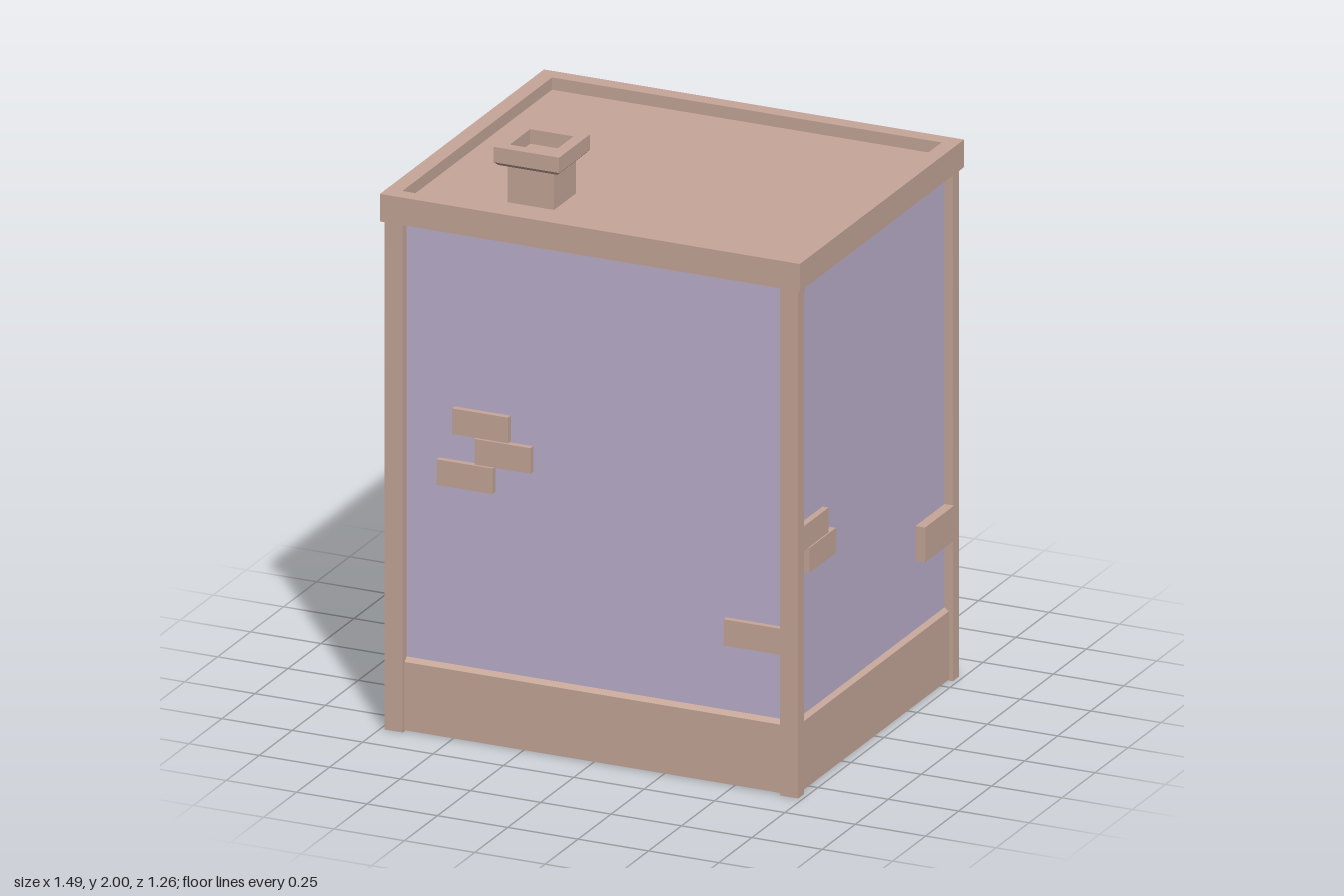
import * as THREE from 'three';

const mat = (name, color) => {
  const m = new THREE.MeshStandardMaterial({ color });
  m.name = name;
  return m;
};

export function createModel() {
  const stone = mat('stone', 0xc6a799);
  const plaster = mat('plaster', 0xbcb0cd);
  const doorPaint = mat('doorPaint', 0xac97c8);
  const glass = mat('glass', 0x9fb5c4);

  const house = new THREE.Group();
  house.name = 'house';

  const add = (parent, name, geometry, material) => {
    const mesh = new THREE.Mesh(geometry, material);
    mesh.name = name;
    parent.add(mesh);
    return mesh;
  };
  // Box given by its lower and upper limits on each axis
  const box = (parent, name, material, x0, x1, y0, y1, z0, z1) => {
    const mesh = add(parent, name, new THREE.BoxGeometry(x1 - x0, y1 - y0, z1 - z0), material);
    mesh.position.set((x0 + x1) / 2, (y0 + y1) / 2, (z0 + z1) / 2);
    return mesh;
  };
  // Four-sided turned shape from [half width, y] points
  const squareLathe = (points) => {
    const profile = points.map(([r, y]) => new THREE.Vector2(r * Math.SQRT2, y));
    const g = new THREE.LatheGeometry(profile, 4, Math.PI / 4).toNonIndexed();
    g.computeVertexNormals();
    return g;
  };

  // Wall planes
  const wallX = 0.705, wallFront = 0.587, wallBack = -0.57;
  box(house, 'walls', plaster, -wallX, wallX, 0.005, 1.8, wallBack, wallFront);

  // Plinth with a sloped top edge
  const plinth = add(house, 'plinth',
    squareLathe([[0, 0.003], [1, 0.003], [1, 0.238], [0.975, 0.252], [0, 0.252]]), stone);
  plinth.scale.set(0.72, 1, 0.594);
  plinth.position.z = 0.0085;

  // Corner posts
  for (const s of [-1, 1]) {
    const [a, b] = s > 0 ? [0.67, 0.735] : [-0.735, -0.67];
    box(house, 'cornerPost', stone, a, b, 0, 1.75, 0.572, 0.617);
    box(house, 'cornerPost', stone, a, b, 0, 1.75, -0.6, -0.555);
  }
  box(house, 'postBracket', stone, 0.69, 0.73, 1.715, 1.75, 0.555, 0.575);

  // Parapet ring and the sunken flat roof
  const rectangle = (path, x, z) => {
    path.moveTo(-x, -z).lineTo(x, -z).lineTo(x, z).lineTo(-x, z).closePath();
    return path;
  };
  const ring = rectangle(new THREE.Shape(), 0.746, 0.6215);
  ring.holes.push(rectangle(new THREE.Path(), 0.692, 0.567));
  const parapet = add(house, 'parapet',
    new THREE.ExtrudeGeometry(ring, { depth: 0.095, bevelEnabled: false }), stone);
  parapet.rotation.x = -Math.PI / 2;
  parapet.position.set(0, 1.75, 0.006);
  box(house, 'roof', stone, -0.72, 0.72, 1.76, 1.803, -0.59, 0.6);

  // Hollow chimney with a wider cap
  const chimney = add(house, 'chimney', squareLathe([
    [0.083, 1.79], [0.083, 1.927], [0.105, 1.935], [0.117, 1.947], [0.117, 2],
    [0.077, 2], [0.077, 1.95], [0, 1.95]]), stone);
  chimney.position.set(-0.307, 0, 0.338);

  // Exposed bricks: front [x0, x1, y0, y1]
  for (const [x0, x1, y0, y1] of [
    [-0.5, -0.3, 1.052, 1.14], [-0.42, -0.22, 0.96, 1.048],
    [-0.555, -0.355, 0.868, 0.956], [0.465, 0.68, 0.48, 0.57]]) {
    box(house, 'frontBrick', stone, x0, x1, y0, y1, 0.57, 0.608);
  }
  // Exposed bricks: sides [side, z0, z1, y0, y1, outer x]
  for (const [s, z0, z1, y0, y1, out] of [
    [1, 0.37, 0.58, 0.83, 0.915, 0.727], [1, 0.315, 0.515, 0.74, 0.826, 0.727],
    [1, -0.556, -0.335, 0.485, 0.605, 0.739],
    [-1, -0.36, -0.15, 0.85, 0.94, 0.727], [-1, -0.49, -0.28, 0.475, 0.565, 0.727],
    [-1, 0.24, 0.44, 1.485, 1.573, 0.727], [-1, 0.17, 0.37, 1.393, 1.481, 0.727],
    [-1, 0.24, 0.44, 1.301, 1.389, 0.727]]) {
    box(house, 'sideBrick', stone, s > 0 ? 0.69 : -out, s > 0 ? out : -0.69, y0, y1, z0, z1);
  }

  // Lintel, jambs and a flat panel, shared by windows and door
  const opening = (name, x, bottom, top, lintelHalf, panelMaterial, panelZ) => {
    const g = new THREE.Group();
    g.name = name;
    g.position.x = x;
    house.add(g);
    box(g, 'lintel', stone, -lintelHalf, lintelHalf, top - 0.06, top, -0.628, -0.56);
    box(g, 'lintelMoulding', stone, -0.21, 0.21, top - 0.073, top - 0.06, -0.609, -0.56);
    for (const s of [-1, 1]) {
      box(g, 'jamb', stone, s * 0.1875 - 0.0225, s * 0.1875 + 0.0225, bottom, top - 0.06, -0.609, -0.56);
    }
    box(g, 'panel', panelMaterial, -0.17, 0.17, bottom, top - 0.06, panelZ, panelZ + 0.008);
    return g;
  };

  // Windows, each with a sill and a slatted apron below
  for (const [x, top] of [[0.318, 1.63], [-0.302, 1.63], [0.318, 0.878]]) {
    const sill = top - 0.445;
    const g = opening('window', x, sill, top, 0.232, glass, -0.576);
    box(g, 'sill', stone, -0.252, 0.252, sill - 0.018, sill + 0.007, -0.628, -0.56);
    box(g, 'apron', stone, -0.225, 0.225, sill - 0.155, sill - 0.018, -0.588, -0.56);
    for (let i = 0; i < 7; i++) {
      const c = (i - 3) * 0.067;
      box(g, 'slat', stone, c - 0.026, c + 0.026, sill - 0.155, sill - 0.018, -0.614, -0.58);
    }
  }

  // Door
  opening('door', -0.302, 0, 0.878, 0.252, doorPaint, -0.592);

  return house;
}
